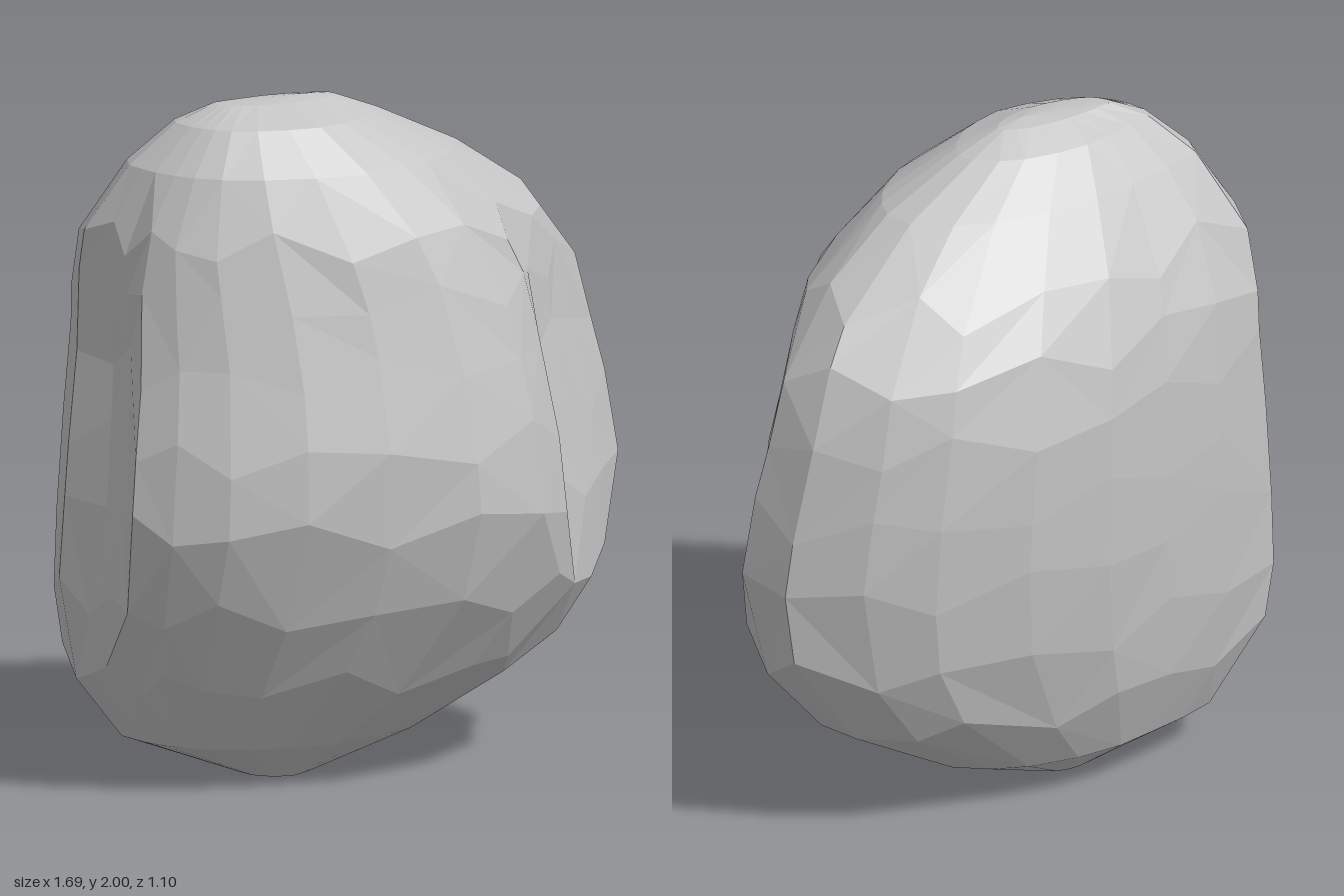
import * as THREE from 'three';

// Horizontal sections: y, left x, right x, back z, front z, groove depth at +x and at -x
// (a negative depth makes the flank bulge instead)
const LEVELS = [
  [0.0, -0.32, -0.1, -0.19, 0.0, -0.4, 0],
  [0.12, -0.65, 0.24, -0.35, 0.16, -0.4, 0],
  [0.33, -0.81, 0.63, -0.465, 0.34, -0.3, 0],
  [0.56, -0.845, 0.81, -0.52, 0.475, 0.05, 0.55],
  [0.82, -0.83, 0.85, -0.55, 0.555, 0.8, 1],
  [1.04, -0.81, 0.82, -0.555, 0.54, 1, 1],
  [1.27, -0.78, 0.765, -0.55, 0.485, 0.9, 0.85],
  [1.46, -0.785, 0.715, -0.51, 0.44, 0.6, 0.6],
  [1.63, -0.78, 0.6, -0.42, 0.4, 0.15, 0.25],
  [1.82, -0.67, 0.32, -0.26, 0.3, 0, 0],
  [1.94, -0.54, 0.07, -0.15, 0.18, 0, 0],
  [1.99, -0.43, -0.06, -0.06, 0.06, 0, 0],
];

// Outline seen from above: x, z, and the shift (x, z) where the grooves are full
const OUTLINE = [
  [0.85, -0.09, 0, 0], [0.8, 0.06, -0.08, 0], [0.73, 0.18, -0.12, -0.02],
  [0.63, 0.29, -0.12, -0.05], [0.53, 0.38, -0.025, -0.035], [0.39, 0.46, 0, 0],
  [0.16, 0.55, 0, 0], [-0.11, 0.535, 0, 0], [-0.36, 0.47, 0, 0.03],
  [-0.55, 0.37, -0.03, 0.06], [-0.66, 0.27, -0.06, 0.075], [-0.73, 0.17, -0.08, 0.075],
  [-0.79, 0.05, 0.02, 0.05], [-0.82, -0.05, 0.04, 0.03], [-0.85, -0.17, 0, 0],
  [-0.81, -0.32, 0, 0], [-0.6, -0.41, 0, 0], [-0.36, -0.48, 0, 0],
  [-0.12, -0.545, 0, 0], [0.16, -0.555, 0, 0], [0.45, -0.505, 0, 0],
  [0.64, -0.415, 0, 0], [0.81, -0.265, 0, 0],
];

// Section values at any height
function sectionAt(y) {
  let i = 0;
  while (i < LEVELS.length - 2 && y > LEVELS[i + 1][0]) i++;
  const a = LEVELS[i], b = LEVELS[i + 1];
  const t = (y - a[0]) / (b[0] - a[0]);
  return a.map((v, k) => v + (b[k] - v) * t);
}

// One surface point: the outline fitted into the section's extents
function surfacePoint(y, j) {
  const [, xL, xR, zB, zF, grooveR, grooveL] = sectionAt(y);
  const [x, z, dx, dz] = OUTLINE[j];
  const groove = x > 0 ? grooveR : grooveL;
  const u = (x + dx * groove + 0.85) / 1.7;
  const v = (z + dz * groove + 0.555) / 1.11;
  return new THREE.Vector3(xL + (xR - xL) * u, y, zB + (zF - zB) * v);
}

function boulderGeometry() {
  const n = OUTLINE.length, rows = LEVELS.length;
  const centre = new THREE.Vector3(-0.05, 1, -0.03);
  const points = [], index = [];
  LEVELS.forEach(([y], i) => {
    // Uneven middle rows give irregular chiselled facets
    const wobble = i > 1 && i < rows - 3 ? 0.05 : 0;
    for (let j = 0; j < n; j++) {
      points.push(surfacePoint(y + wobble * Math.sin(j * 2.4 + i * 1.7), j));
    }
  });
  // Distance of an edge's midpoint from the centre
  const reach = (a, b) => points[a].clone().lerp(points[b], 0.5).distanceTo(centre);

  for (let i = 0; i < rows - 1; i++) {
    for (let j = 0; j < n; j++) {
      const a = i * n + j, b = i * n + (j + 1) % n, c = a + n, d = b + n;
      // Split each quad along its outer diagonal, so facets bulge
      if (reach(b, c) > reach(a, d)) index.push(a, b, c, b, d, c);
      else index.push(a, b, d, a, d, c);
    }
  }
  // End caps
  const bottom = points.length, top = bottom + 1, last = (rows - 1) * n;
  points.push(new THREE.Vector3(-0.2, 0, -0.09), new THREE.Vector3(-0.15, 2, 0));
  for (let j = 0; j < n; j++) {
    const k = (j + 1) % n;
    index.push(bottom, k, j, top, last + j, last + k);
  }
  // The outline runs from +x through +z, so reversed corners face outward
  const geometry = new THREE.BufferGeometry().setFromPoints(points);
  geometry.setIndex(index.reverse());
  const flat = geometry.toNonIndexed();
  flat.computeVertexNormals();
  return flat;
}

export function createModel() {
  const stone = new THREE.MeshStandardMaterial({ color: 0xc4c4c4 });
  stone.name = 'stone grey';
  const boulder = new THREE.Mesh(boulderGeometry(), stone);
  boulder.name = 'boulder';
  const model = new THREE.Group();
  model.name = 'rock';
  model.add(boulder);
  return model;
}
